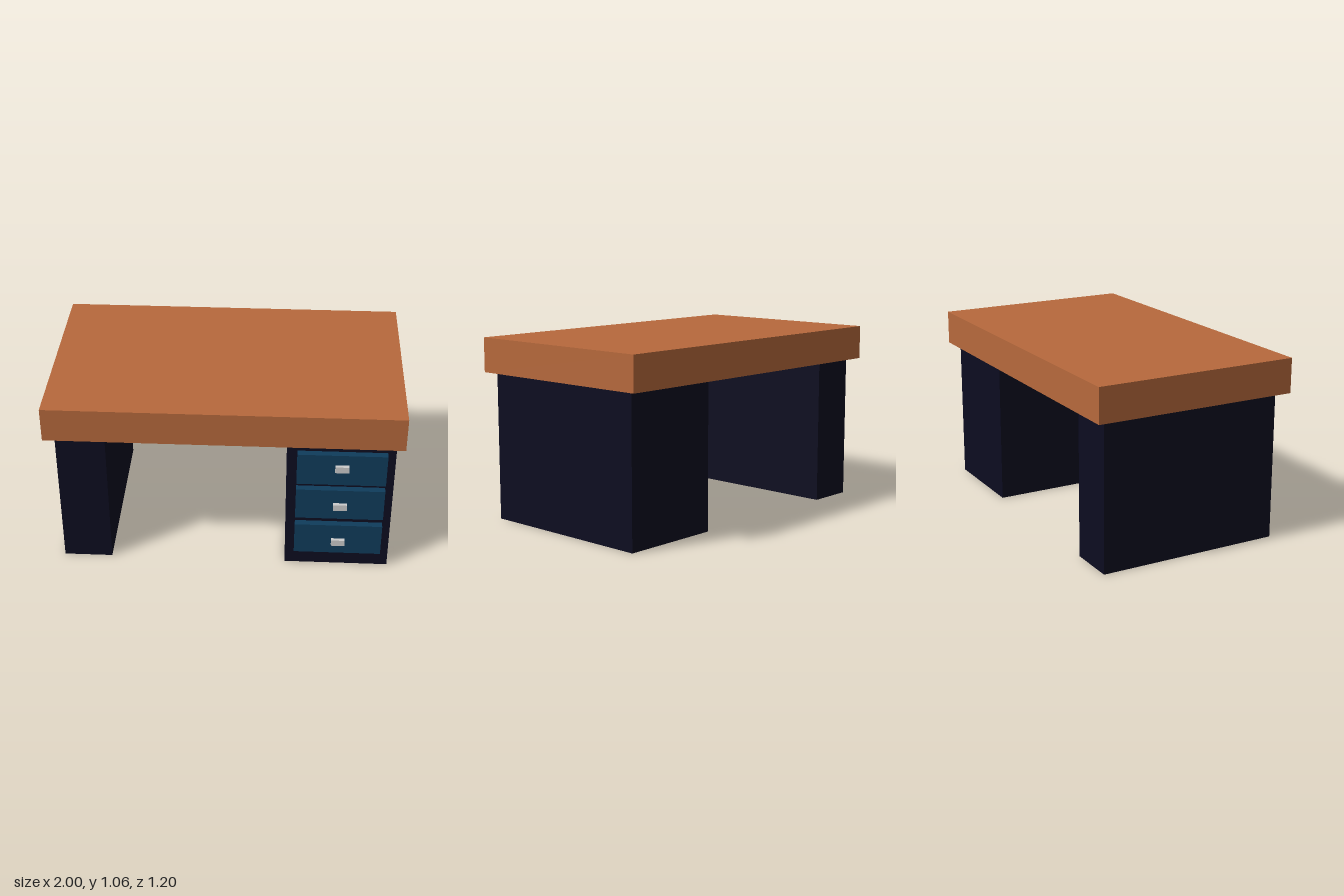
import * as THREE from 'three';

const material = (name, color) => {
  const m = new THREE.MeshStandardMaterial({ color });
  m.name = name;
  return m;
};

// Box given by its lower and upper corners
function box(name, mat, [x0, y0, z0], [x1, y1, z1]) {
  const mesh = new THREE.Mesh(new THREE.BoxGeometry(x1 - x0, y1 - y0, z1 - z0), mat);
  mesh.position.set((x0 + x1) / 2, (y0 + y1) / 2, (z0 + z1) / 2);
  mesh.name = name;
  return mesh;
}

export function createModel() {
  const wood = material('orange wood', 0xb7693c);
  const dark = material('dark navy', 0x0c0c20);
  const blue = material('drawer blue', 0x0f3c5c);
  const metal = material('handle grey', 0xcccccc);

  const desk = new THREE.Group();
  desk.name = 'desk';

  // Thick top on a slim panel leg and a wide drawer cabinet
  desk.add(
    box('deskTop', wood, [-1, 0.86, -0.6], [1, 1.06, 0.6]),
    box('panelLeg', dark, [-0.943, 0, -0.54], [-0.663, 0.86, 0.54]),
    box('drawerCabinet', dark, [0.358, 0, -0.54], [0.957, 0.86, 0.54]),
  );

  // Three drawers, each with a small pull: [front bottom, pull bottom]
  [[0.11, 0.177], [0.36, 0.433], [0.6, 0.697]].forEach(([y, pullY], i) => {
    const drawer = new THREE.Group();
    drawer.name = `drawer${i + 1}`;
    drawer.add(
      box('drawerFront', blue, [0.41, y, 0.54], [0.91, y + 0.2, 0.58]),
      box('drawerPull', metal, [0.622, pullY, 0.58], [0.7, pullY + 0.039, 0.601]),
    );
    desk.add(drawer);
  });

  return desk;
}
